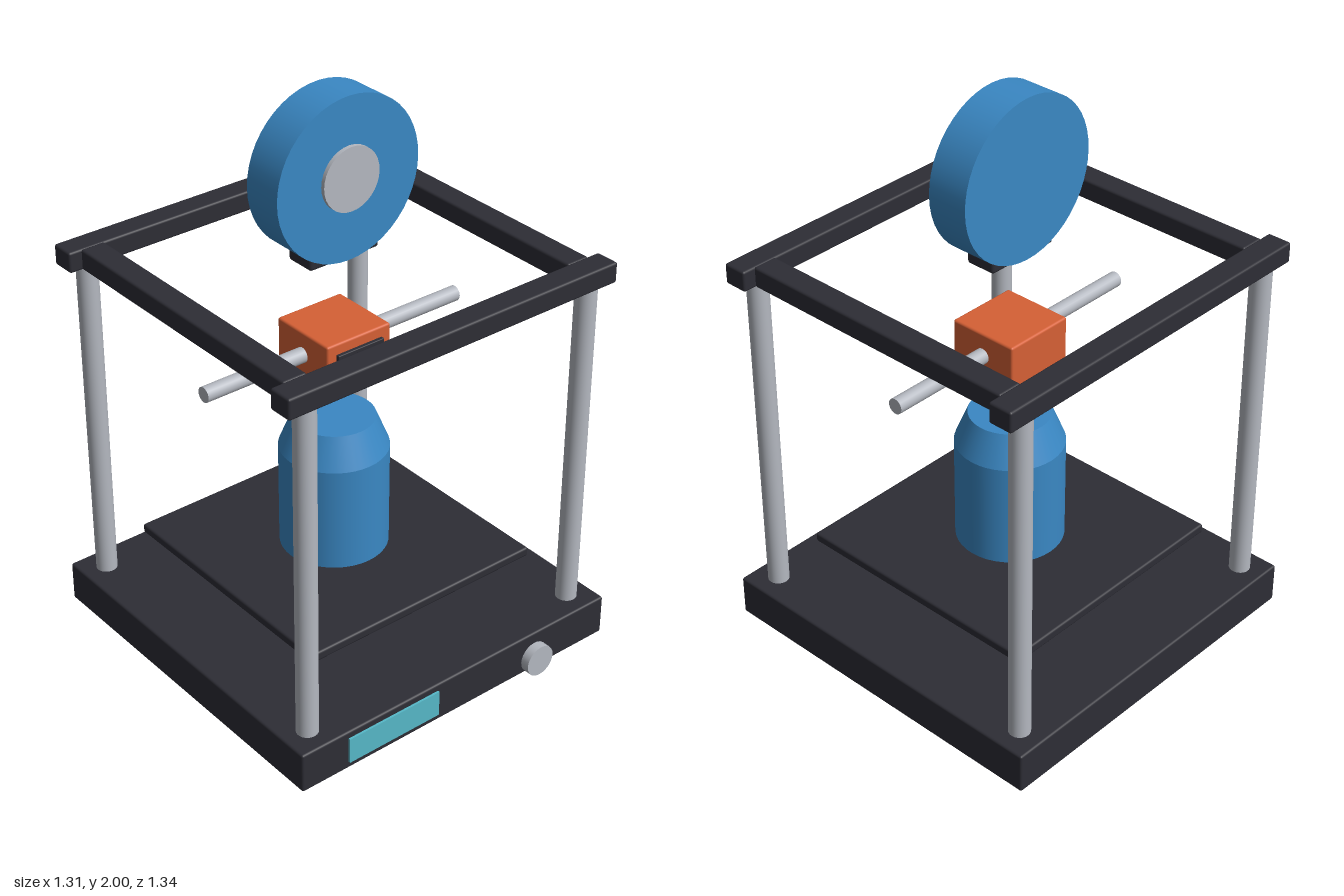
import * as THREE from 'three';
import { RoundedBoxGeometry } from 'three/addons/geometries/RoundedBoxGeometry.js';

function mat(name, color) {
  const m = new THREE.MeshStandardMaterial({ color });
  m.name = name;
  return m;
}

export function createModel() {
  const dark = mat('charcoal', 0x2d2d35);
  const blue = mat('blue', 0x3a88c4);
  const metal = mat('metal', 0xb4b8c0);
  const orange = mat('orange', 0xd66035);
  const cyan = mat('screen cyan', 0x56b8c8);

  const root = new THREE.Group();
  root.name = 'printer';
  // everything but the front knob is centred on this depth
  const ZC = -0.0145;

  function add(name, geometry, material, x, y, z) {
    const mesh = new THREE.Mesh(geometry, material);
    mesh.name = name;
    mesh.position.set(x, y, z);
    root.add(mesh);
    return mesh;
  }
  const box = (name, w, h, d, material, x, y, z, r = 0.008) =>
    add(name, new RoundedBoxGeometry(w, h, d, 2, r), material, x, y, z);
  const rod = (name, r, length, material, x, y, z, sides = 32) =>
    add(name, new THREE.CylinderGeometry(r, r, length, sides), material, x, y, z);

  // Base with screen and knob
  box('base', 1.31, 0.147, 1.31, dark, 0, 0.0815, ZC);
  add('screen', new THREE.BoxGeometry(0.375, 0.095, 0.008), cyan, -0.283, 0.0825, 0.6445);
  rod('knob', 0.057, 0.034, metal, 0.335, 0.057, 0.656, 24).rotation.x = Math.PI / 2;

  // Four posts and the top frame
  for (const s of [-1, 1]) {
    for (const t of [-1, 1]) {
      rod('post', 0.037, 1.22, metal, s * 0.565, 0.757, ZC + t * 0.565);
    }
    box('frameSideBar', 0.088, 0.073, 1.05, dark, s * 0.565, 1.398, ZC);
    box('frameCrossBar', 1.31, 0.073, 0.088, dark, 0, 1.398, ZC + s * 0.565);
  }

  // Print bed on its lift column
  rod('bedColumn', 0.028, 0.17, metal, 0, 0.235, ZC);
  box('bed', 0.937, 0.034, 0.937, dark, 0, 0.326, ZC);

  // Printed object: straight body and tapered shoulder
  rod('printBody', 0.187, 0.378, blue, 0, 0.532, ZC, 40);
  add('printShoulder', new THREE.CylinderGeometry(0.141, 0.187, 0.113, 40), blue, 0, 0.7775, ZC);

  // Print head on its rail
  rod('rail', 0.027, 1.043, metal, 0, 1.109, ZC, 24).rotation.z = Math.PI / 2;
  box('printHead', 0.26, 0.174, 0.257, orange, 0, 1.104, ZC);
  box('headPlate', 0.188, 0.092, 0.02, dark, 0, 1.107, 0.117, 0.003);
  add('nozzle', new THREE.CylinderGeometry(0.046, 0.004, 0.085, 24), metal, 0, 0.977, ZC);
  add('bead', new THREE.SphereGeometry(0.023, 20, 14), orange, 0, 0.919, ZC);

  // Spool with hub, resting on a holder
  box('spoolHolder', 0.277, 0.045, 0.112, dark, 0, 1.457, ZC, 0.01);
  rod('spool', 0.28, 0.15, blue, 0, 1.72, ZC, 48).rotation.x = Math.PI / 2;
  rod('spoolHub', 0.11, 0.12, metal, 0, 1.726, 0.015, 32).rotation.x = Math.PI / 2;

  return root;
}
